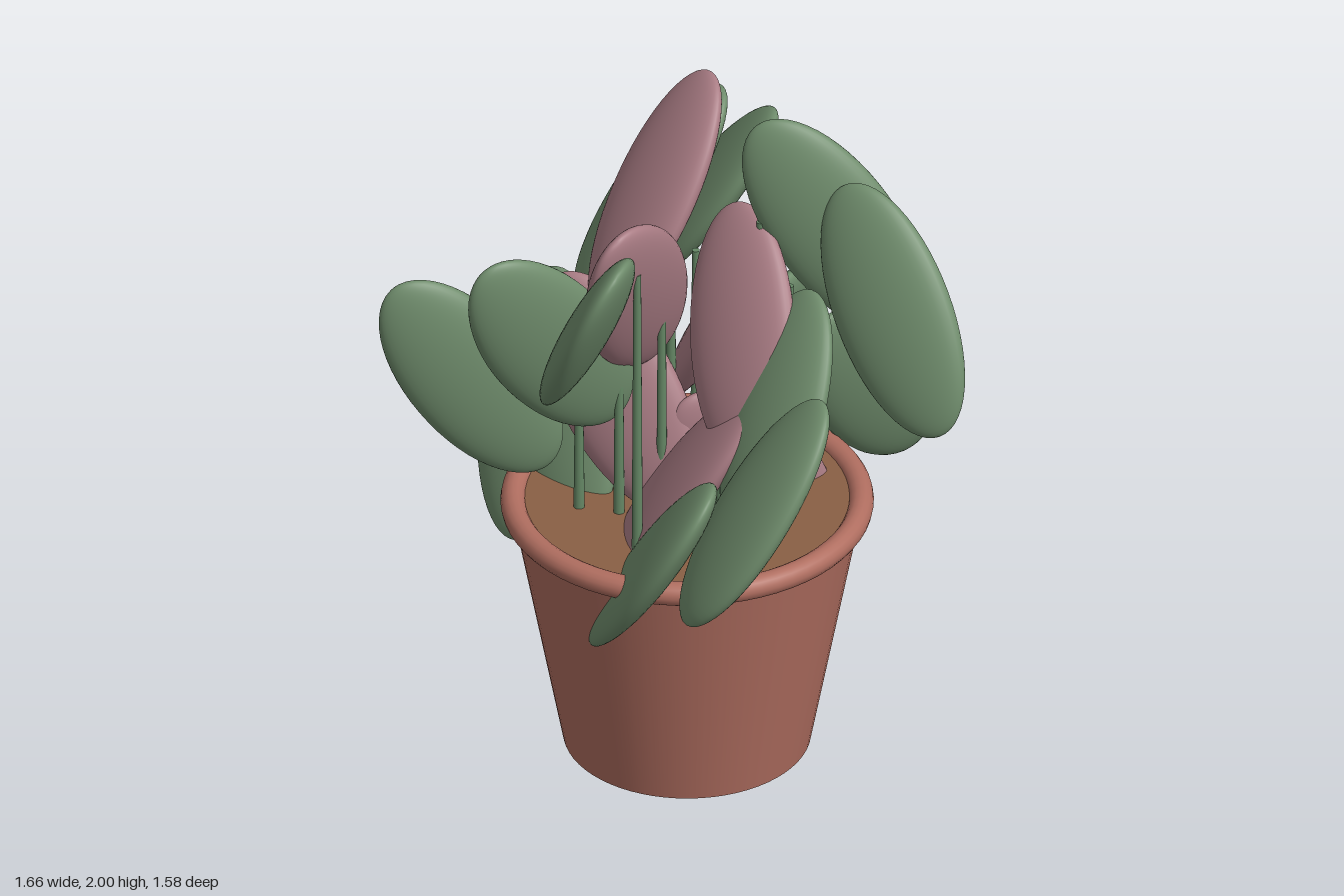
import * as THREE from 'three';

const makeMaterial = (name, color) => {
  const material = new THREE.MeshStandardMaterial({ color });
  material.name = name;
  return material;
};

export function createModel() {
  const terracotta = makeMaterial('terracotta', 0xb06e60);
  const soilBrown = makeMaterial('soil brown', 0x8a6045);
  const leafGreen = makeMaterial('leaf green', 0x6f8c6c);
  const leafPink = makeMaterial('leaf pink', 0xa97c84);
  const stemGreen = makeMaterial('stem green', 0x658765);

  const plant = new THREE.Group();
  plant.name = 'pottedPlant';
  const add = (name, geometry, material, parent = plant) => {
    const mesh = new THREE.Mesh(geometry, material);
    mesh.name = name;
    parent.add(mesh);
    return mesh;
  };

  // Tapered pot with a rolled rim, filled with soil
  add('pot', new THREE.CylinderGeometry(0.492, 0.347, 0.77, 64), terracotta).position.y = 0.385;
  const rim = add('potRim', new THREE.TorusGeometry(0.487, 0.035, 16, 64), terracotta);
  rim.rotation.x = Math.PI / 2;
  rim.position.y = 0.77;
  add('soil', new THREE.CylinderGeometry(0.465, 0.465, 0.03, 64), soilBrown).position.y = 0.765;

  // Three rings of seven leaves, each spiralling down from the top
  const leafShape = new THREE.SphereGeometry(1, 40, 28);
  const up = new THREE.Vector3(0, 1, 0);
  const tilt = THREE.MathUtils.degToRad(34.5);
  const rings = [
    { name: 'outer', radius: 0.612, material: leafGreen, angles: [129.5, 32.5, -73, -177, -275.5, -380.5, -484] },
    { name: 'middle', radius: 0.41, material: leafGreen, angles: [12.3, -92, -189.5, -295, -400.5, -494, -604] },
    { name: 'inner', radius: 0.195, material: leafPink, angles: [-105, -211, -310.5, -413.5, -515, -616, -727] },
  ];
  for (const { name, radius, angles, material } of rings) {
    const ring = new THREE.Group();
    ring.name = `${name}Leaves`;
    plant.add(ring);
    angles.forEach((degrees, i) => {
      const angle = THREE.MathUtils.degToRad(degrees);
      const x = radius * Math.cos(angle);
      const z = radius * Math.sin(angle);
      const y = 1.677 - 0.1445 * i;

      // Flat oval leaf, edge towards the middle, its lean turning twice per circuit
      const leaf = add(`${name}Leaf`, leafShape, material, ring);
      leaf.scale.set(0.18, 0.377, 0.061);
      leaf.position.set(x, y, z);
      const lean = 2 * angle + Math.PI;
      const tip = new THREE.Vector3(
        Math.sin(tilt) * Math.cos(lean), Math.cos(tilt), Math.sin(tilt) * Math.sin(lean));
      const turn = new THREE.Quaternion().setFromAxisAngle(up, -angle);
      leaf.quaternion.setFromUnitVectors(up, tip).multiply(turn);

      // Upright stem halfway out to the leaf
      const height = y + 0.015 - 0.77;
      const stem = add(`${name}Stem`, new THREE.CylinderGeometry(0.011, 0.016, height, 12), stemGreen, ring);
      stem.position.set(x / 2, 0.77 + height / 2, z / 2);
    });
  }

  // Centre the whole plant over the origin
  plant.children.forEach((part) => { part.position.x += 0.037; });
  return plant;
}
